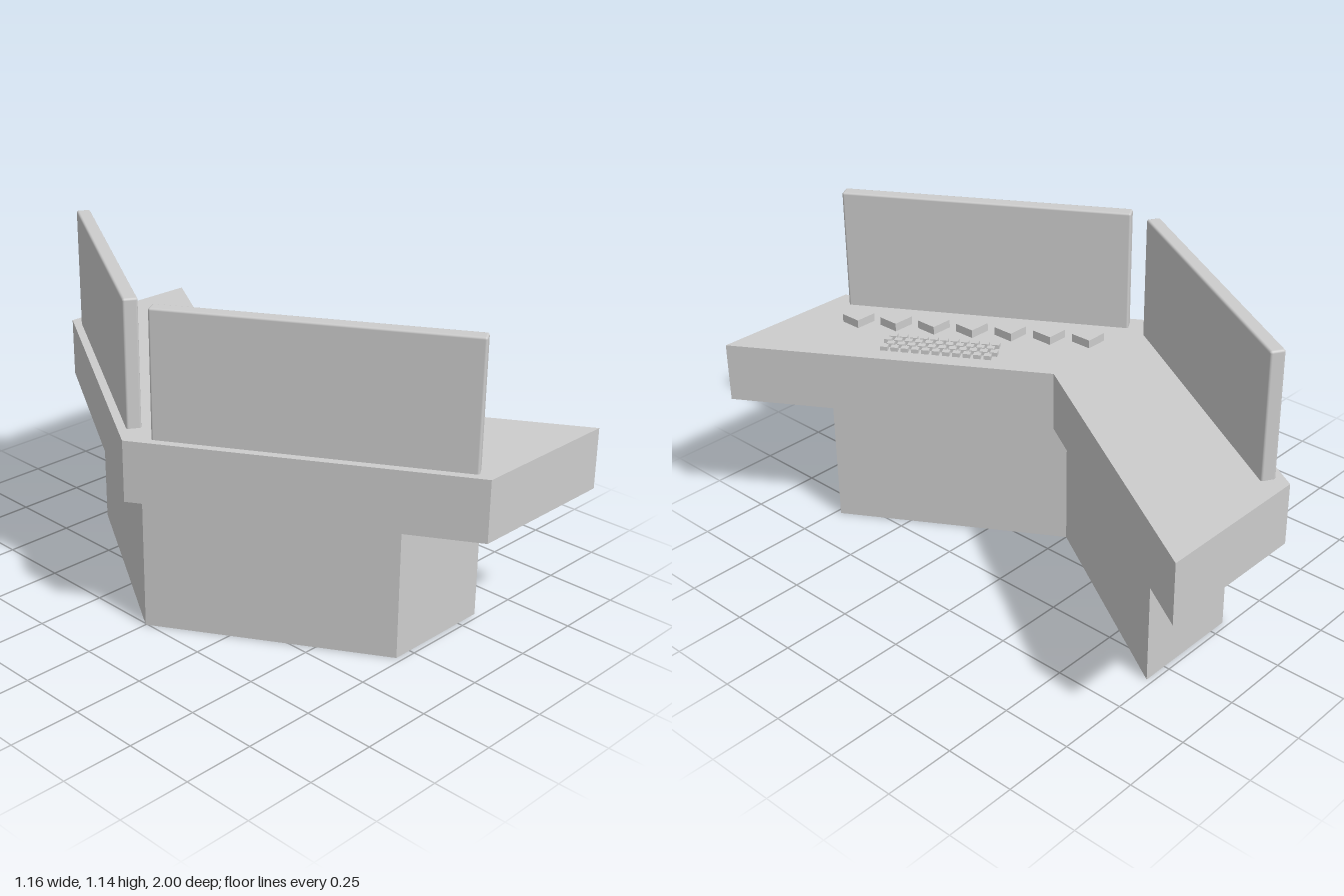
import * as THREE from 'three';
import { RoundedBoxGeometry } from 'three/addons/geometries/RoundedBoxGeometry.js';

export function createModel() {
  const group = new THREE.Group();
  group.name = 'angledConsoleDesk';
  const grey = new THREE.MeshStandardMaterial({ color: 0xcccccc });
  grey.name = 'light grey';

  const add = (name, geometry, parent = group) => {
    const mesh = new THREE.Mesh(geometry, grey);
    mesh.name = name;
    parent.add(mesh);
    return mesh;
  };

  // V-shaped slab: outer and inner apex on z = 0, arms running to z = +-halfZ
  const chevron = (outerApex, outerEnd, innerApex, innerEnd, halfZ, y0, y1) => {
    const shape = new THREE.Shape([
      [outerApex, 0], [outerEnd, -halfZ], [innerEnd, -halfZ],
      [innerApex, 0], [innerEnd, halfZ], [outerEnd, halfZ],
    ].map(([x, y]) => new THREE.Vector2(x, y)));
    return new THREE.ExtrudeGeometry(shape, { depth: y1 - y0, bevelEnabled: false })
      .rotateX(-Math.PI / 2).translate(0, y0, 0);
  };
  add('base', chevron(-0.505, -0.065, -0.1, 0.34, 0.73, 0, 0.485));
  add('desktop', chevron(-0.58, 0.02, -0.03, 0.58, 1, 0.485, 0.7));

  // Direction of the front arm in the ground plane
  const along = new THREE.Vector2(0.6, 1).normalize();
  const angle = Math.atan2(along.y, along.x);

  // One upright panel along the outer edge of each arm, sunk slightly into the desk
  for (const side of [1, -1]) {
    const panel = add(side > 0 ? 'frontPanel' : 'backPanel',
      new RoundedBoxGeometry(1.04, 0.46, 0.05, 2, 0.008));
    panel.position.set(-0.222, 0.91, side * 0.4925);
    panel.rotation.y = -side * angle;
  }

  // Row of square buttons
  const buttons = new THREE.Group();
  buttons.name = 'buttons';
  group.add(buttons);
  const buttonGeometry = new THREE.BoxGeometry(0.08, 0.03, 0.08);
  for (let i = 0; i < 7; i++) {
    add('button', buttonGeometry, buttons)
      .position.set(-0.295 + i * 0.072, 0.715, 0.075 + i * 0.12);
  }

  // Keyboard: four slightly staggered rows of small keys
  const keyboard = new THREE.Group();
  keyboard.name = 'keyboard';
  keyboard.position.set(0.09, 0.7075, 0.418);
  keyboard.rotation.y = -angle;
  group.add(keyboard);
  const keyGeometry = new THREE.BoxGeometry(0.026, 0.015, 0.022);
  const stagger = [0, 0.012, -0.006, 0.01];
  for (let row = 0; row < 4; row++) {
    for (let i = 0; i < 11; i++) {
      add('key', keyGeometry, keyboard)
        .position.set((i - 5) * 0.037 + stagger[row], 0, (1.5 - row) * 0.029);
    }
  }
  return group;
}
